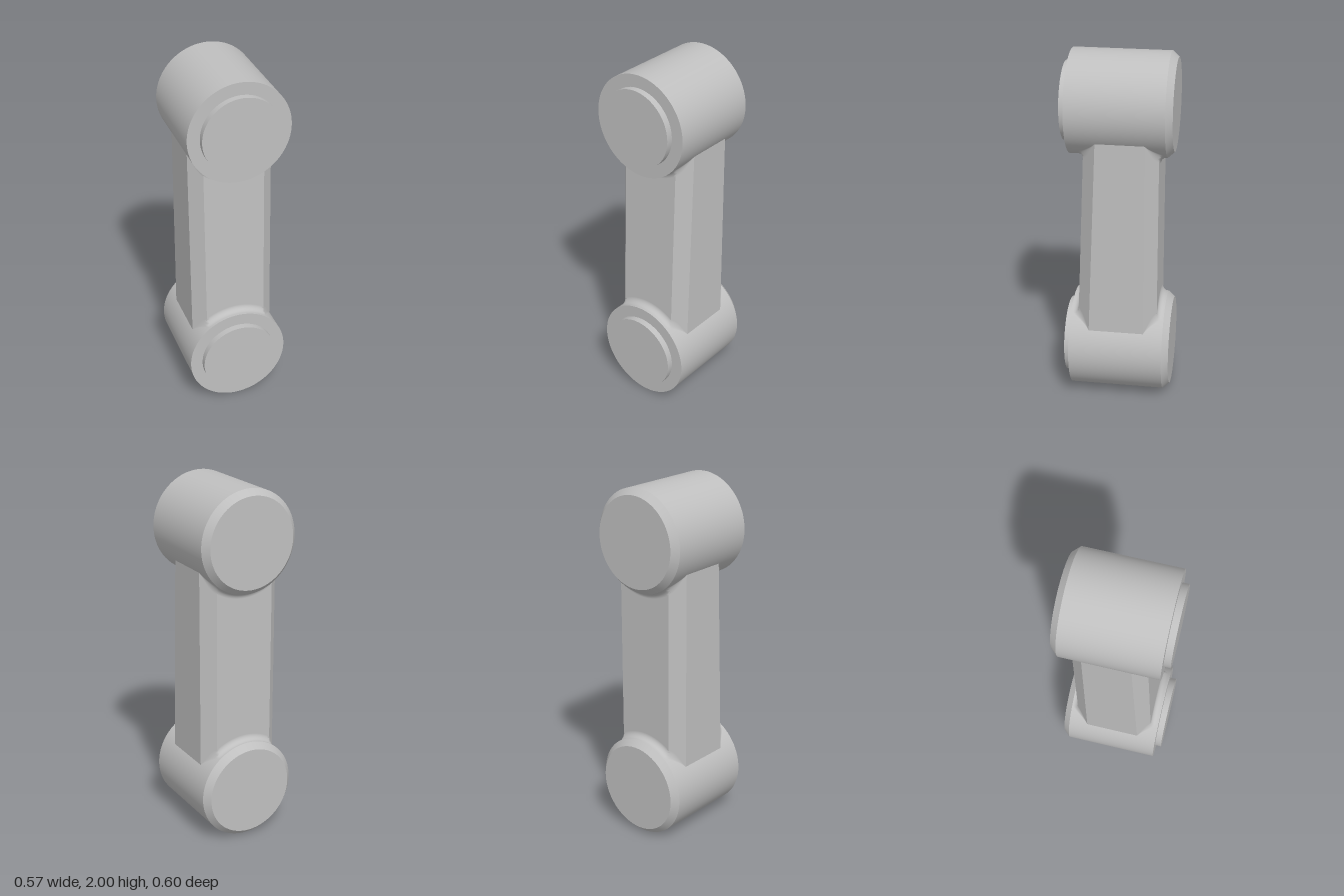
import * as THREE from 'three';
import { toCreasedNormals } from 'three/addons/utils/BufferGeometryUtils.js';
import { ParametricGeometry } from 'three/addons/geometries/ParametricGeometry.js';

const R = 0.283;            // hub radius
const HUBS = [{ name: 'lowerHub', y: R, dir: 1 }, { name: 'upperHub', y: 2 - R, dir: -1 }];
const ARM_X = 0.235, FLAT_X = 0.17, CHAMFER = 0.07, BACK_Z = 0.225;

// The arm's front leans back slightly towards the top
const frontZ = (y) => 0.2 + (1 - y) * 0.04;

// Depth of the arm's front (+1) or back (-1) surface, including its chamfers
function armDepth(x, y, side) {
  const flat = side > 0 ? frontZ(y) : BACK_Z;
  return flat - Math.max(0, Math.abs(x) - FLAT_X) * CHAMFER / (ARM_X - FLAT_X);
}

// Barrel with a bevelled back rim and a raised disc on the front
function hubGeometry() {
  const profile = [[0, -0.3], [0.25, -0.3], [R, -0.264], [R, 0.264], [0.214, 0.264], [0.214, 0.3], [0, 0.3]]
    .map(([r, h]) => new THREE.Vector2(r, h));
  const geo = new THREE.LatheGeometry(profile, 96);
  geo.rotateX(Math.PI / 2);
  return toCreasedNormals(geo, Math.PI / 6);
}

// Chamfered bar with a tapered front
function armGeometry() {
  const half = [[FLAT_X, -1], [ARM_X, -0.5], [ARM_X, 0.5], [FLAT_X, 1]].map(([x, s]) => {
    const z = s < 0 ? -BACK_Z : BACK_Z;
    return new THREE.Vector2(x, -(Math.abs(s) === 1 ? z : z - Math.sign(z) * CHAMFER));
  });
  const mirrored = half.map((p) => new THREE.Vector2(-p.x, p.y)).reverse();
  const geo = new THREE.ExtrudeGeometry(new THREE.Shape([...half, ...mirrored]),
    { depth: 2 - 2 * R, bevelEnabled: false });
  geo.rotateX(-Math.PI / 2).translate(0, R, 0);
  const pos = geo.attributes.position;
  for (let i = 0; i < pos.count; i++) {
    if (pos.getZ(i) > 0) pos.setZ(i, pos.getZ(i) - BACK_Z + frontZ(pos.getY(i)));
  }
  geo.computeVertexNormals();
  return geo;
}

// Concave fillet where the arm meets a hub, fading out at the arm's sides
function filletGeometry(hub, side) {
  const span = Math.asin(ARM_X / R) - 0.01;
  return new ParametricGeometry((u, v, target) => {
    const t = (u * 2 - 1) * span;
    const fade = THREE.MathUtils.smoothstep(span - Math.abs(t), 0, 0.4);
    const f = 0.001 + 0.032 * fade;
    const a = v * Math.PI / 2;
    const r = R + f - f * Math.cos(a);
    const x = r * Math.sin(t);
    const y = hub.y + hub.dir * r * Math.cos(t);
    target.set(x, y, side * (armDepth(x, y, side) + f - f * Math.sin(a)));
  }, 40, 8);
}

export function createModel() {
  const group = new THREE.Group();
  const grey = new THREE.MeshStandardMaterial({ color: 0xbfbfbf });
  grey.name = 'grey';
  grey.side = THREE.DoubleSide;

  const add = (name, geo) => {
    const mesh = new THREE.Mesh(geo, grey);
    mesh.name = name;
    group.add(mesh);
    return mesh;
  };

  add('arm', armGeometry());
  for (const hub of HUBS) {
    add(hub.name, hubGeometry()).position.y = hub.y;
    add(hub.name + 'FrontFillet', filletGeometry(hub, 1));
    add(hub.name + 'BackFillet', filletGeometry(hub, -1));
  }
  return group;
}
